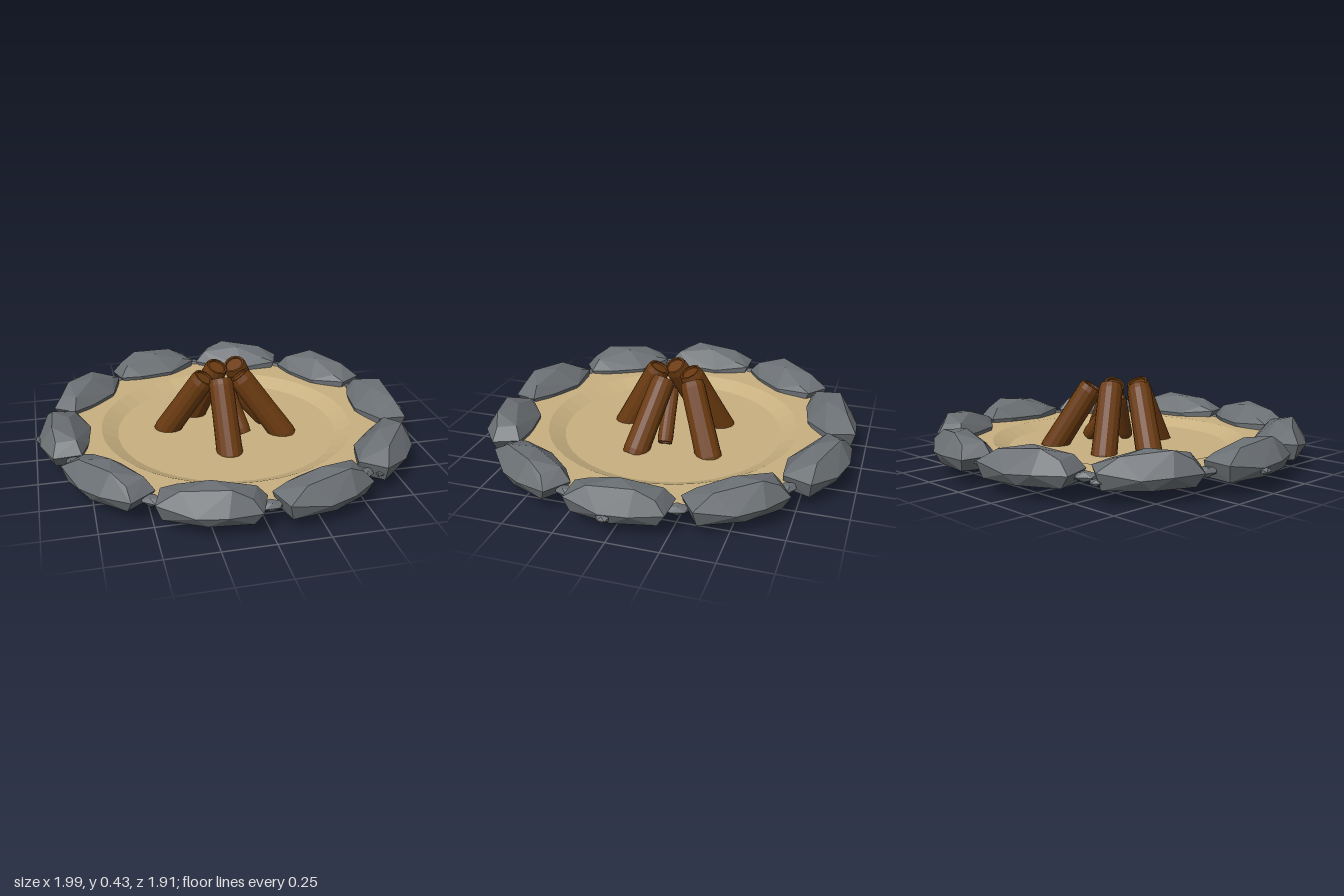
import * as THREE from 'three';
import { ConvexGeometry } from 'three/addons/geometries/ConvexGeometry.js';

const mat = (color, extra = {}) => new THREE.MeshStandardMaterial({ color, flatShading: true, ...extra });
const V = (x, y, z) => new THREE.Vector3(x, y, z);
const deg = THREE.MathUtils.degToRad;

export function createModel() {
  const group = new THREE.Group();
  const stoneMat = mat(0x6b7074);
  const sandMat = mat(0xc8b080, { side: THREE.DoubleSide });
  const barkMat = mat(0x6a3a10, { side: THREE.DoubleSide });

  const add = (name, geometry, material, parent = group) => {
    const mesh = new THREE.Mesh(geometry, material);
    mesh.name = name;
    parent.add(mesh);
    return mesh;
  };

  // Sand bed: flat rim stepping down to a shallow pit
  const bed = [[0, 0.09], [0.575, 0.09], [0.66, 0.13], [0.86, 0.13]];
  add('sandBed', new THREE.LatheGeometry(bed.map(p => new THREE.Vector2(...p)), 40), sandMat);

  // One faceted boulder: x = radial distance, z = along the ring
  const boulder = new ConvexGeometry([
    // underside
    V(0.78, 0.08, -0.2), V(0.91, 0.08, -0.2), V(0.95, 0.08, 0.0),
    V(0.91, 0.08, 0.21), V(0.77, 0.08, 0.2), V(0.73, 0.08, 0.02),
    // widest belt
    V(0.78, 0.15, -0.25), V(0.92, 0.14, -0.24), V(0.975, 0.14, -0.09), V(0.975, 0.13, 0.05),
    V(0.925, 0.16, 0.235), V(0.78, 0.165, 0.235), V(0.71, 0.15, 0.05), V(0.735, 0.15, -0.13),
    // crown
    V(0.8, 0.21, -0.2), V(0.9, 0.2, -0.19), V(0.91, 0.245, -0.1),
    V(0.82, 0.24, 0.0), V(0.9, 0.222, 0.13), V(0.78, 0.19, 0.16),
  ]);

  // Rough pebble, longer along the ring
  const pebble = new THREE.IcosahedronGeometry(1, 0);

  const addPebble = (name, angle, radius, y, sx, sy, sz) => {
    const p = add(name, pebble, stoneMat);
    p.position.set(Math.cos(angle) * radius, y, Math.sin(angle) * radius);
    p.rotation.y = -angle;
    p.scale.set(sx, sy, sz);
  };

  // Ring of ten boulders with a pebble in each gap
  for (let i = 0; i < 10; i++) {
    const angle = deg(36 * i - 0.5);
    add('boulder', boulder, stoneMat).rotation.y = -angle;
    addPebble('gapPebble', angle + deg(18), 0.86, 0.123, 0.038, 0.025, 0.065);
  }

  // Small pebbles at the outer foot of some boulders
  for (const [a, r] of [[1, 0.975], [48.5, 0.91], [132.8, 0.91], [181.7, 0.975], [229.7, 0.93], [312.4, 0.91]]) {
    addPebble('outerPebble', deg(a), r, 0.115, 0.025, 0.018, 0.035);
  }

  // Log between two points, with recessed ends inside a bark lip
  const addLog = (name, from, to, r) => {
    const a = V(...from), b = V(...to);
    const len = a.distanceTo(b);
    const lip = r * 0.78, inset = r * 0.3;
    const profile = [
      [0, inset], [lip, inset], [lip, 0.004], [r * 0.97, 0], [r * 1.05, 0.03],
      [r, len * 0.5], [r * 0.98, len - 0.03], [r * 0.86, len],
      [lip * 0.9, len], [lip * 0.88, len - inset * 0.5], [0, len - inset * 0.5],
    ];
    const log = add(name, new THREE.LatheGeometry(profile.map(p => new THREE.Vector2(...p)), 14), barkMat);
    log.position.copy(a);
    log.quaternion.setFromUnitVectors(V(0, 1, 0), b.sub(a).normalize());
  };

  // Five large logs leaning together
  const logs = [
    [[-0.04, 0.04, 0.29], [-0.05, 0.415, 0.09]],
    [[0.30, 0.06, 0.115], [0.06, 0.40, 0.03]],
    [[-0.32, 0.06, -0.085], [-0.12, 0.405, 0.03]],
    [[-0.15, 0.04, -0.25], [-0.03, 0.415, -0.08]],
    [[0.24, 0.045, -0.27], [0.07, 0.405, -0.12]],
  ];
  for (const [from, to] of logs) addLog('log', from, to, 0.064);

  // Thin sticks tucked between them
  addLog('stick', [0.21, 0.11, -0.02], [0.02, 0.33, 0], 0.038);
  addLog('stick', [0.07, 0.11, 0.125], [0, 0.34, 0.01], 0.036);

  return group;
}
